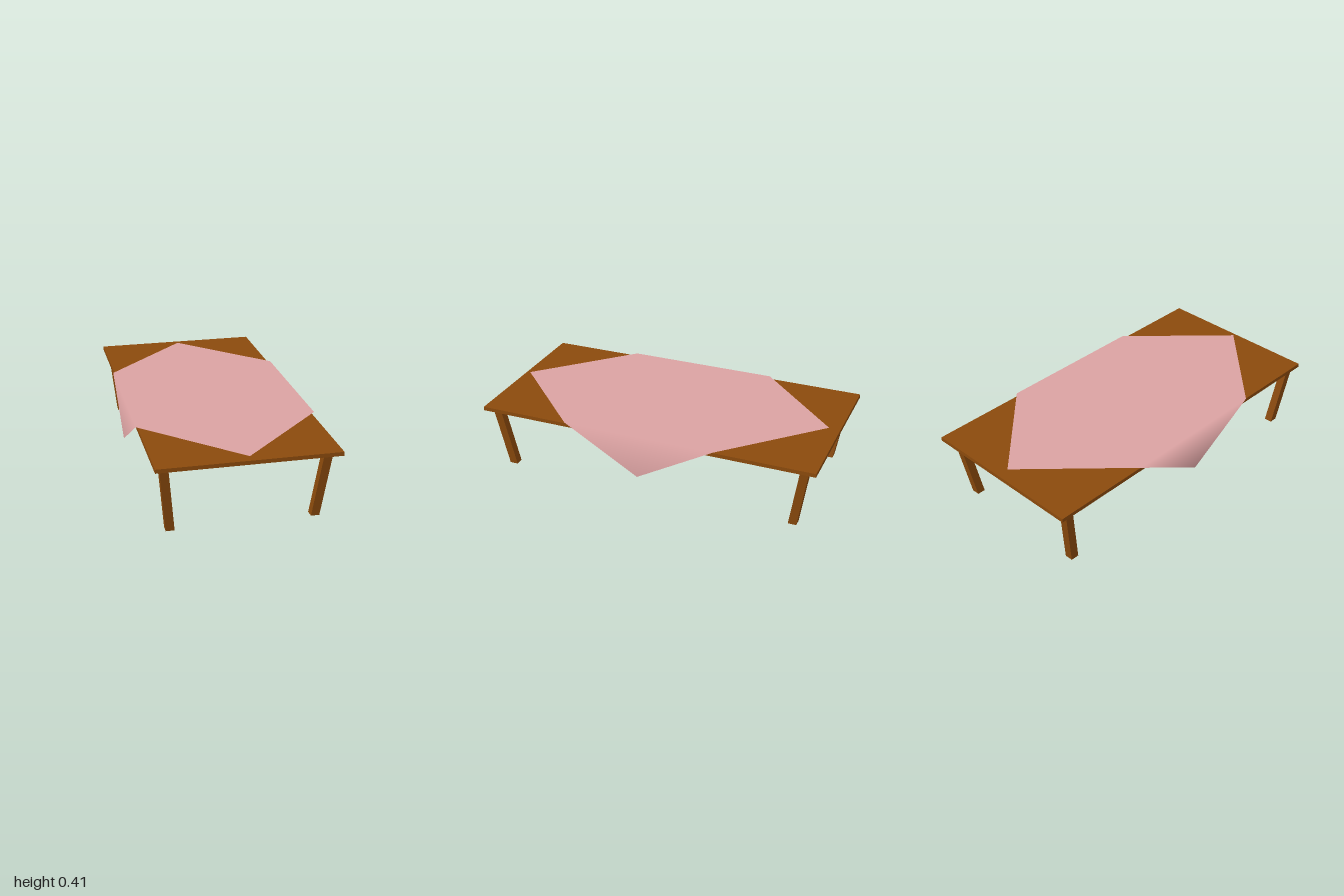
import * as THREE from 'three';

const TOP_Y = 0.402, UNDER_Y = 0.38;

// Shallow slab, open underneath
function makeTableTop(material) {
  const geo = new THREE.BoxGeometry(0.99, TOP_Y - UNDER_Y, 2);
  const index = Array.from(geo.index.array);
  index.splice(18, 6); // drop the bottom face
  geo.setIndex(index);
  geo.clearGroups();
  geo.translate(0, (TOP_Y + UNDER_Y) / 2, 0);
  const mesh = new THREE.Mesh(geo, material);
  mesh.name = 'tableTop';
  return mesh;
}

// Square leg sheared so that the foot leans towards the middle
function makeLeg(sx, sz, material) {
  const geo = new THREE.BoxGeometry(0.047, UNDER_Y, 0.048);
  geo.translate(0, UNDER_Y / 2, 0);
  const p = geo.attributes.position;
  for (let i = 0; i < p.count; i++) {
    const t = p.getY(i) / UNDER_Y;
    p.setX(i, p.getX(i) - 0.011 + sx * (0.395 + 0.039 * t));
    p.setZ(i, p.getZ(i) + 0.008 + sz * (0.874 + 0.062 * t));
  }
  geo.computeVertexNormals();
  const mesh = new THREE.Mesh(geo, material);
  mesh.name = (sz > 0 ? 'front' : 'back') + (sx > 0 ? 'Left' : 'Right') + 'Leg';
  return mesh;
}

// Square cloth laid cornerwise, with two corners hanging over the long sides
function makeCloth(material) {
  const y = 0.413, x = 0.506;
  const points = [
    0, y, 0.968, x, y, 0.465, x, y, -0.432,
    0, y, -0.938, -x, y, -0.432, -x, y, 0.465,
    0.513, 0.16, 0.017, -0.513, 0.16, 0.017, // hanging tips
  ];
  const normals = [];
  for (let i = 0; i < 6; i++) normals.push(0, 1, 0);
  normals.push(1, 0, 0, -1, 0, 0);
  const geo = new THREE.BufferGeometry();
  geo.setAttribute('position', new THREE.Float32BufferAttribute(points, 3));
  geo.setAttribute('normal', new THREE.Float32BufferAttribute(normals, 3));
  geo.setIndex([0, 1, 2, 0, 2, 3, 0, 3, 4, 0, 4, 5, 1, 6, 2, 4, 7, 5]);
  const mesh = new THREE.Mesh(geo, material);
  mesh.name = 'tablecloth';
  return mesh;
}

export function createModel() {
  const wood = new THREE.MeshStandardMaterial({ color: 0x8b4a0c, side: THREE.DoubleSide });
  const fabric = new THREE.MeshStandardMaterial({ color: 0xdba2a2, side: THREE.DoubleSide });

  const table = new THREE.Group();
  table.name = 'table';
  table.add(makeTableTop(wood), makeCloth(fabric));
  for (const sx of [-1, 1])
    for (const sz of [-1, 1]) table.add(makeLeg(sx, sz, wood));
  return table;
}
